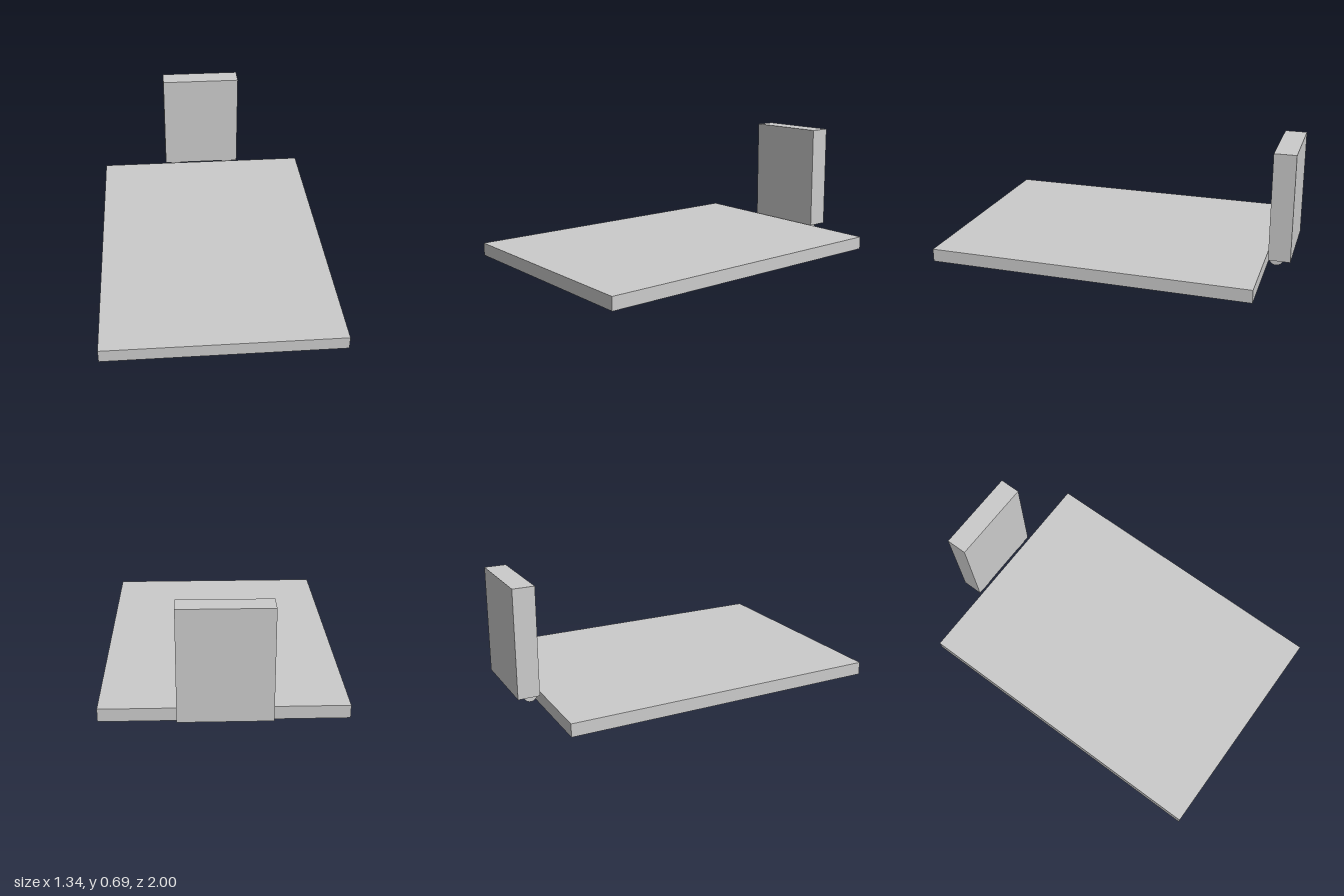
import * as THREE from 'three';

const material = new THREE.MeshStandardMaterial({ color: 0xcccccc });

function addPart(group, name, geometry, x, y, z) {
  const mesh = new THREE.Mesh(geometry, material);
  mesh.name = name;
  mesh.position.set(x, y, z);
  group.add(mesh);
  return mesh;
}

export function createModel() {
  const model = new THREE.Group();
  model.name = 'seatWithBackrest';

  // Flat seat slab
  addPart(model, 'seat', new THREE.BoxGeometry(1.34, 0.075, 1.86), 0, 0.0375, 0.07);

  // Upright backrest just behind the seat
  addPart(model, 'backrest', new THREE.BoxGeometry(0.5, 0.625, 0.125), 0, 0.3825, -0.9375);

  // Pair of hinge barrels, half sunk into the underside of the backrest
  const barrel = new THREE.CylinderGeometry(0.041, 0.041, 0.065, 32).rotateZ(Math.PI / 2);
  for (const side of [-1, 1]) {
    addPart(model, side > 0 ? 'leftHinge' : 'rightHinge', barrel, side * 0.18, 0.07, -0.9165);
  }

  return model;
}
